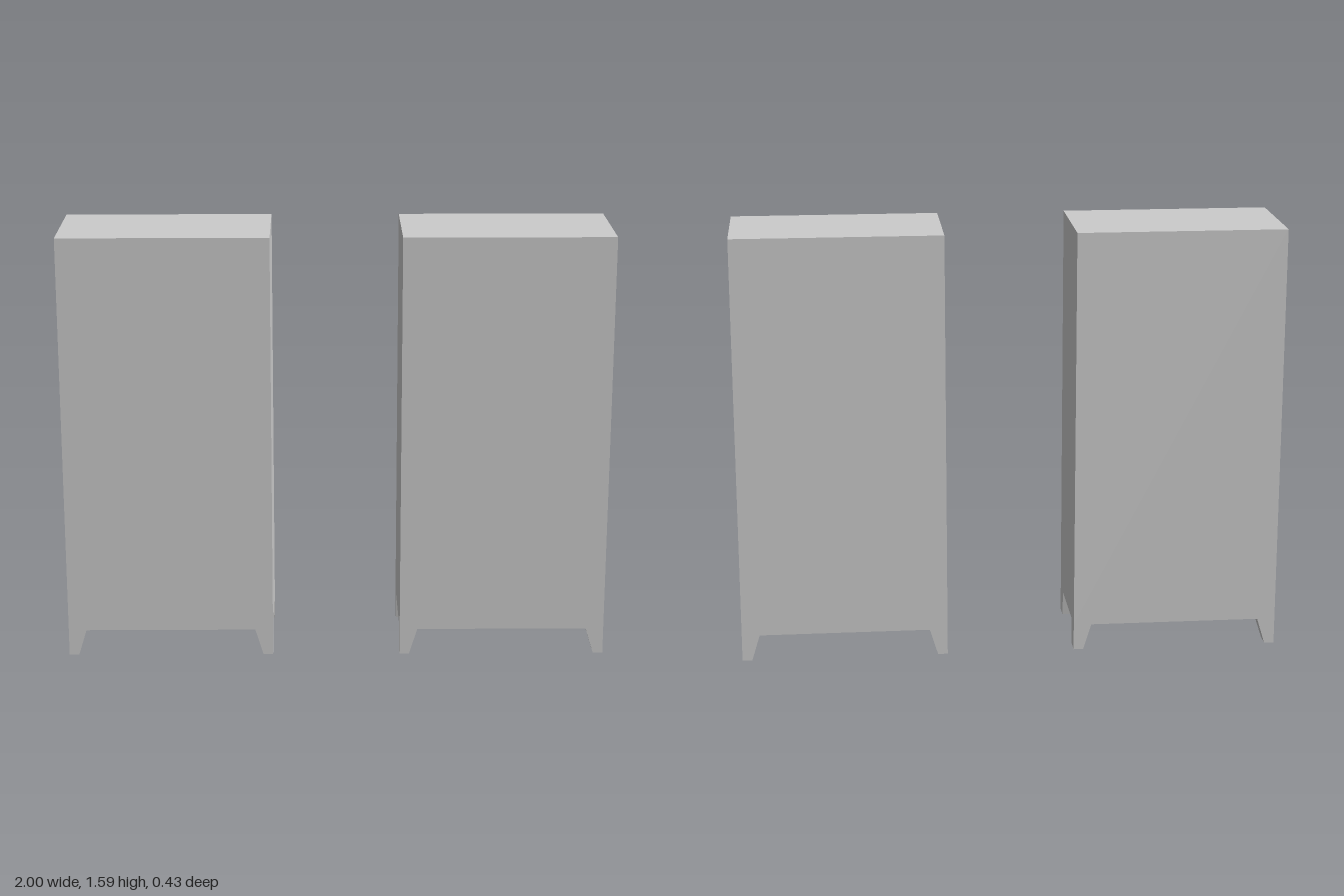
import * as THREE from 'three';

const WIDTH = 0.763, DEPTH = 0.426, HEIGHT = 1.59, LEG = 0.098;
const TOP_X = 0.066, TOP_Z = 0.078, FOOT_X = 0.036, FOOT_Z = 0.06;

const material = new THREE.MeshStandardMaterial({ color: 0xcccccc, flatShading: true });

// Corner leg: outer faces stay flush with the cabinet, inner faces taper to the foot
function createLeg(sx, sz) {
  const geometry = new THREE.BoxGeometry(TOP_X, LEG, TOP_Z);
  const p = geometry.attributes.position;
  for (let i = 0; i < p.count; i++) {
    const atFoot = p.getY(i) < 0;
    if (atFoot && p.getX(i) * sx < 0) p.setX(i, sx * (TOP_X / 2 - FOOT_X));
    if (atFoot && p.getZ(i) * sz < 0) p.setZ(i, sz * (TOP_Z / 2 - FOOT_Z));
  }
  geometry.computeVertexNormals();
  const leg = new THREE.Mesh(geometry, material);
  leg.name = (sz > 0 ? 'front' : 'back') + (sx > 0 ? 'Left' : 'Right') + 'Leg';
  leg.position.set(sx * (WIDTH - TOP_X) / 2, LEG / 2, sz * (DEPTH - TOP_Z) / 2);
  return leg;
}

function createCabinet(name) {
  const cabinet = new THREE.Group();
  cabinet.name = name;

  // Plain closed body
  const body = new THREE.Mesh(new THREE.BoxGeometry(WIDTH, HEIGHT - LEG, DEPTH), material);
  body.name = 'body';
  body.position.y = (HEIGHT + LEG) / 2;
  cabinet.add(body);

  for (const sx of [-1, 1]) {
    for (const sz of [-1, 1]) cabinet.add(createLeg(sx, sz));
  }
  return cabinet;
}

export function createModel() {
  const model = new THREE.Group();
  model.name = 'cabinetPair';
  for (const side of [-1, 1]) {
    const cabinet = createCabinet(side > 0 ? 'leftCabinet' : 'rightCabinet');
    cabinet.position.x = side * (1 - WIDTH / 2);
    model.add(cabinet);
  }
  return model;
}
